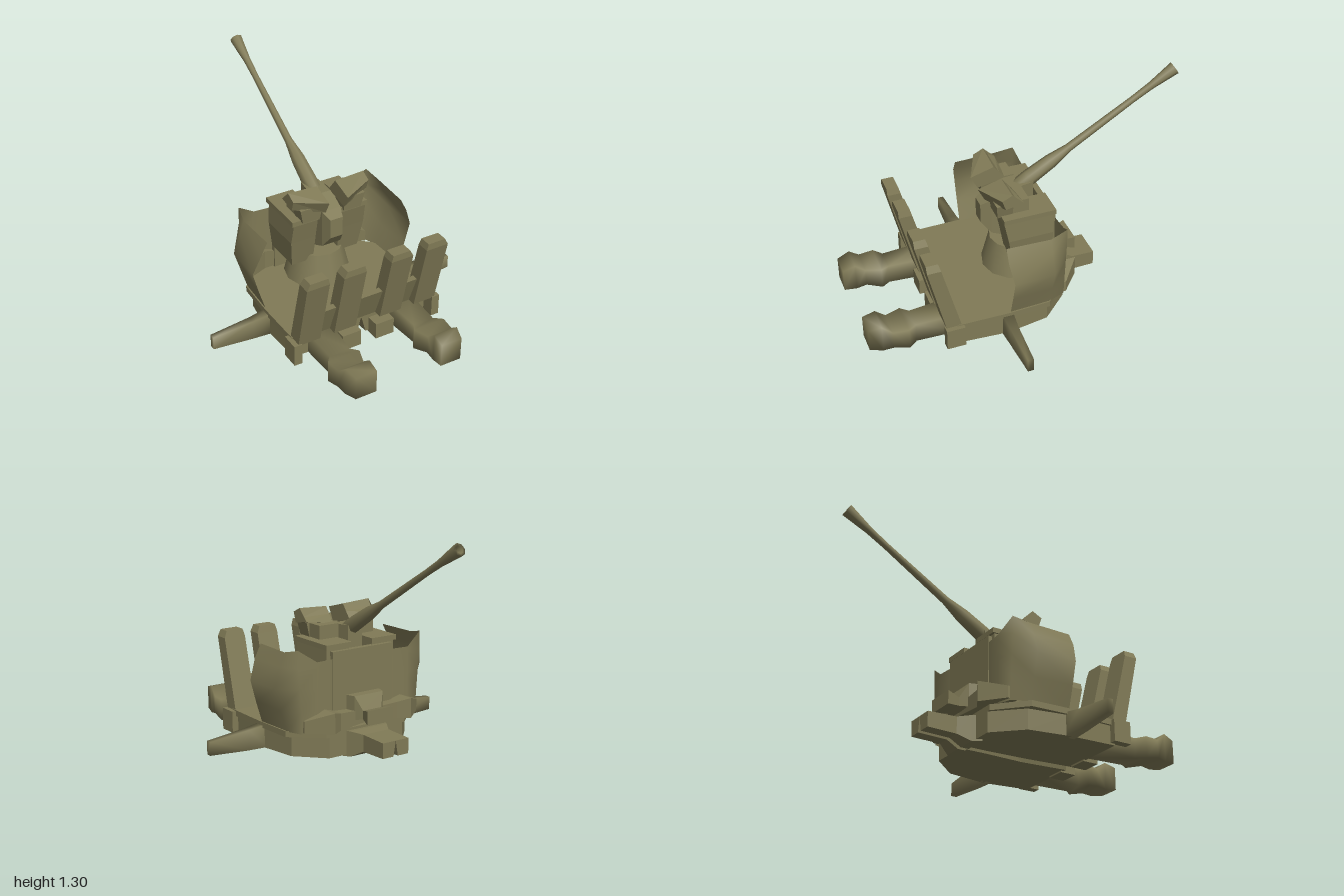
import * as THREE from 'three';

const smooth = new THREE.MeshStandardMaterial({ color: 0x807a56, side: THREE.DoubleSide });
const flat = smooth.clone();
flat.flatShading = true;

// Skin through equal-length rings of [x, y, z]; closed rings get end caps
function loft(name, rings, material = flat, closed = true) {
  const n = rings[0].length, pos = rings.flat(2), index = [];
  for (let r = 0; r < rings.length - 1; r++) {
    for (let i = 0; i < (closed ? n : n - 1); i++) {
      const a = r * n + i, b = r * n + (i + 1) % n;
      index.push(a, b, b + n, a, b + n, a + n);
    }
  }
  if (closed) {
    const e = (rings.length - 1) * n;
    for (let i = 1; i < n - 1; i++) index.push(0, i + 1, i, e, e + i, e + i + 1);
  }
  const g = new THREE.BufferGeometry();
  g.setAttribute('position', new THREE.Float32BufferAttribute(pos, 3));
  g.setIndex(index);
  g.computeVertexNormals();
  const mesh = new THREE.Mesh(g, material);
  mesh.name = name;
  return mesh;
}

// Rectangular sections across z, across x and across y
const atZ = (z, x0, x1, y0, y1) => [[x0, y0, z], [x1, y0, z], [x1, y1, z], [x0, y1, z]];
const atX = (x, z0, z1, y0, y1) => [[x, y0, z1], [x, y0, z0], [x, y1, z0], [x, y1, z1]];
const atY = (y, x0, x1, z0, z1) => [[x1, y, z1], [x1, y, z0], [x0, y, z0], [x0, y, z1]];

// Section of a half that meets its mirror image at the top, with a wedge gap below
const halfAtZ = (z, x0, x1, y0, y1) => [[x0, y0, z], [x1, y0, z], [x1, y1, z], [0, y1, z]];

function box(name, x0, x1, y0, y1, z0, z1) {
  const mesh = new THREE.Mesh(new THREE.BoxGeometry(x1 - x0, y1 - y0, z1 - z0), flat);
  mesh.position.set((x0 + x1) / 2, (y0 + y1) / 2, (z0 + z1) / 2);
  mesh.name = name;
  return mesh;
}

// Everything that exists once on each side, built for +x
function createSide() {
  const side = new THREE.Group();

  // Chassis half, with chamfered rear corner
  side.add(loft('chassisHalf', [
    halfAtZ(-0.21, 0.02, 0.26, 0.02, 0.145), halfAtZ(-0.05, 0.02, 0.41, 0.02, 0.145),
    halfAtZ(0.2, 0.03, 0.45, 0.02, 0.145), halfAtZ(0.5, 0.03, 0.44, 0.03, 0.145),
  ]));

  // Front leg with a knuckle and lumpy foot
  side.add(loft('frontLeg', [
    atZ(0.45, 0.19, 0.35, 0.03, 0.16), atZ(0.72, 0.21, 0.34, 0.03, 0.15),
    atZ(0.77, 0.18, 0.38, 0.03, 0.16), atZ(0.86, 0.21, 0.37, 0.05, 0.16),
    atZ(0.92, 0.21, 0.36, 0.04, 0.21), atZ(0.995, 0.21, 0.34, 0.05, 0.19),
  ], smooth));

  // Side and rear outriggers
  side.add(loft('sideOutrigger', [
    atX(0.42, 0.17, 0.24, 0.02, 0.16), atX(0.55, 0.18, 0.23, 0.02, 0.14),
    atX(0.8, 0.185, 0.22, 0.035, 0.115),
  ], smooth));
  side.add(loft('rearOutrigger', [
    halfAtZ(-0.48, 0.015, 0.09, 0.055, 0.145), halfAtZ(-0.3, 0.015, 0.09, 0.05, 0.15),
    halfAtZ(-0.23, 0.015, 0.13, 0.01, 0.16), halfAtZ(-0.18, 0.015, 0.16, 0.01, 0.16),
  ]));

  // Leaning guard posts along the front edge
  for (const [x0, x1] of [[0.08, 0.22], [0.31, 0.45]]) {
    side.add(loft('guardPost', [
      atY(0.16, x0, x1, 0.48, 0.57), atY(0.59, x0, x1, 0.59, 0.67),
      atY(0.63, x0 + 0.01, x1 - 0.02, 0.6, 0.67),
    ]));
  }
  side.add(box('cornerBracket', 0.43, 0.48, 0.04, 0.17, 0.47, 0.58));
  side.add(box('underBlock', 0.05, 0.17, 0.02, 0.12, 0.48, 0.58));

  // Bulging wing of the gun shield: rows of height, then x at front, middle and rear corner
  const wall = [
    [0.17, 0.45, 0.44, 0.4], [0.3, 0.49, 0.48, 0.41],
    [0.43, 0.525, 0.52, 0.42], [0.55, 0.48, 0.48, 0.43], [0.63, 0.44, 0.45, 0.43],
  ].map(([y, front, mid, corner]) => [
    [front, y, y > 0.5 ? 0.21 : 0.19], [mid, y, -0.05],
    [corner, y > 0.6 ? 0.655 : y, -0.155],
    [0.32, Math.min(y, 0.58), -0.18], [0.2, Math.min(y, 0.58), -0.17],
  ]);
  side.add(loft('shieldWing', wall, smooth, false));

  // Ledge behind the shield
  side.add(loft('rearLedge', [
    atX(0.0, -0.23, -0.15, 0.2, 0.27), atX(0.2, -0.24, -0.15, 0.18, 0.28),
    atX(0.27, -0.28, -0.15, 0.18, 0.3), atX(0.4, -0.17, -0.1, 0.18, 0.25),
  ]));

  // Carriage cheek with its cap plate
  side.add(loft('carriageCheek', [
    atY(0.33, 0.08, 0.22, -0.15, 0.09), atY(0.5, 0.08, 0.24, -0.15, 0.12),
    atY(0.65, 0.08, 0.235, -0.15, 0.15),
  ]));
  side.add(box('cheekCap', 0.07, 0.245, 0.63, 0.66, -0.165, 0.15));

  // Magazine on top: a tilted block above two lower blocks
  side.add(loft('magazine', [
    [[0.06, 0.73, 0.03], [0.06, 0.7, 0.2], [0.06, 0.78, 0.24], [0.06, 0.82, 0.1], [0.06, 0.78, 0.07]],
    [[0.245, 0.76, 0.03], [0.245, 0.74, 0.14], [0.245, 0.8, 0.16], [0.245, 0.83, 0.1], [0.245, 0.78, 0.07]],
  ]));
  side.add(box('magazineStub', 0.06, 0.19, 0.65, 0.74, -0.02, 0.08));
  side.add(loft('sightStub', [
    atY(0.65, 0.08, 0.19, 0.08, 0.17), atY(0.74, 0.07, 0.21, 0.08, 0.18),
  ]));
  return side;
}

export function createModel() {
  const model = new THREE.Group();

  const left = createSide();
  left.name = 'leftSide';
  const right = createSide();
  right.name = 'rightSide';
  right.scale.x = -1;
  model.add(left, right);

  // Deck and the leaning panel that joins the guard posts
  model.add(loft('deck', [
    atZ(-0.21, -0.28, 0.28, 0.14, 0.175), atZ(-0.05, -0.45, 0.45, 0.14, 0.175),
    atZ(0.2, -0.46, 0.46, 0.14, 0.175), atZ(0.51, -0.455, 0.455, 0.14, 0.175),
  ]));
  model.add(loft('guardPanel', [
    atY(0.16, -0.45, 0.45, 0.49, 0.52), atY(0.35, -0.45, 0.45, 0.55, 0.59),
  ]));

  // Rear bracket and the plate that closes the shield between the cheeks
  model.add(loft('rearBracket', [
    atZ(-0.35, -0.08, 0.1, 0.22, 0.3), atZ(-0.27, -0.06, 0.07, 0.23, 0.28),
    atZ(-0.23, -0.1, 0.1, 0.22, 0.36), atZ(-0.16, -0.12, 0.12, 0.18, 0.36),
  ]));
  model.add(box('shieldCentre', -0.21, 0.21, 0.17, 0.62, -0.175, -0.14));

  // Pedestal and breech
  const pedestal = new THREE.Mesh(new THREE.CylinderGeometry(0.15, 0.2, 0.2, 12), smooth);
  pedestal.position.set(0, 0.265, 0);
  pedestal.name = 'pedestal';
  model.add(pedestal);
  model.add(loft('breech', [
    atZ(-0.1, -0.05, 0.05, 0.5, 0.74), atZ(0.05, -0.065, 0.065, 0.4, 0.73),
    atZ(0.16, -0.06, 0.06, 0.45, 0.68), atZ(0.22, -0.04, 0.04, 0.53, 0.65),
  ]));

  // Barrel with recoil sleeve and flared muzzle
  const start = new THREE.Vector3(0, 0.665, 0.03);
  const end = new THREE.Vector3(0, 1.28, -0.978);
  const dir = end.clone().sub(start);
  const length = dir.length();
  const profile = [
    [0, 0], [0.042, 0], [0.048, 0.12], [0.042, 0.25], [0.024, 0.36],
    [0.019, 0.75], [0.022, 0.86], [0.038, 1], [0.022, 1], [0, 0.93],
  ].map(([r, t]) => new THREE.Vector2(r, t * length));
  const barrel = new THREE.Mesh(new THREE.LatheGeometry(profile, 8), smooth);
  barrel.position.copy(start);
  barrel.quaternion.setFromUnitVectors(new THREE.Vector3(0, 1, 0), dir.normalize());
  barrel.name = 'barrel';
  model.add(barrel);

  return model;
}
